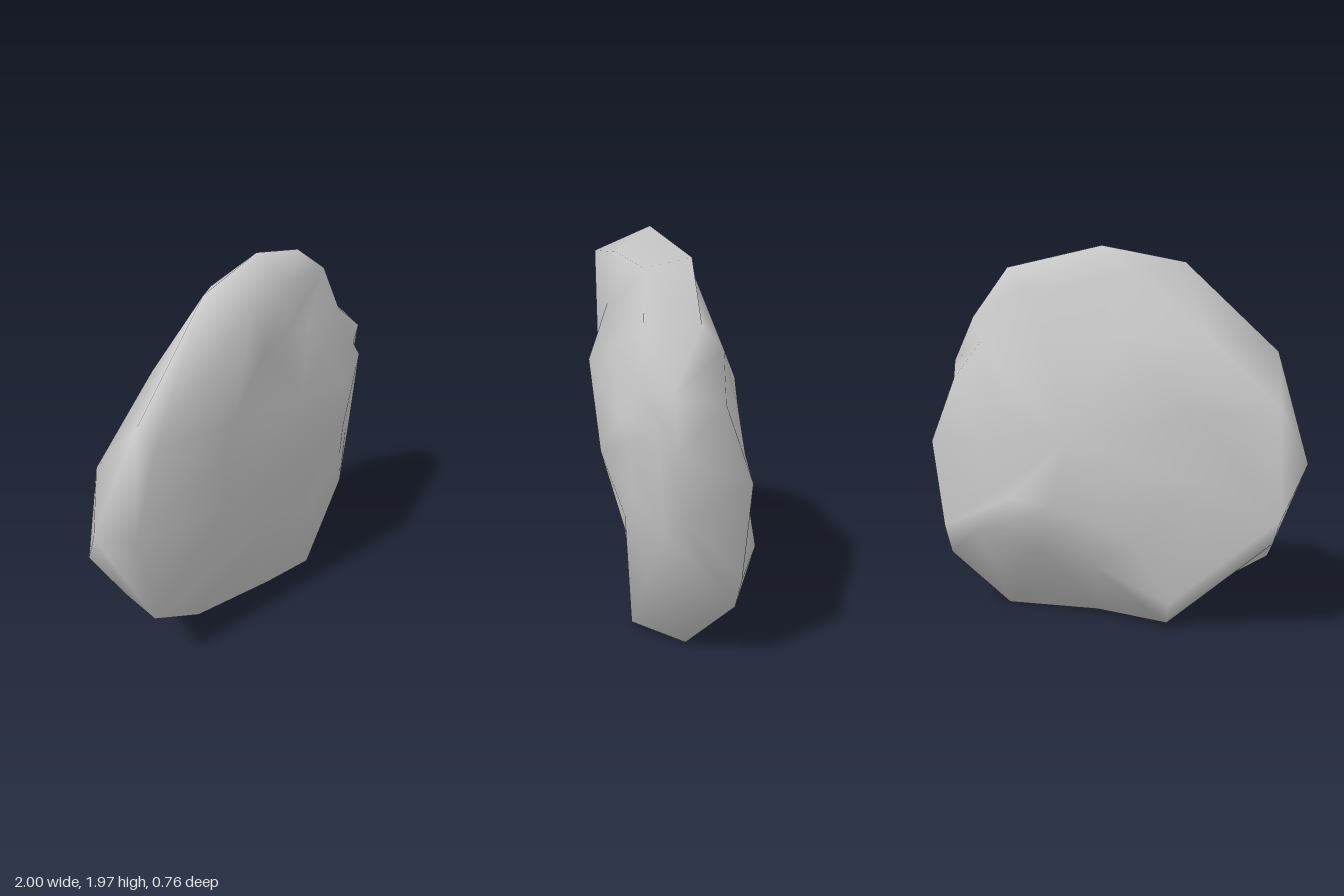
import * as THREE from 'three';

// Stations run clockwise round the stone, seen from the front.
// Each holds three points: front edge, outer rim, back edge.
const STATIONS = [
  [[0.12, 1.85, 0.23], [0.09, 1.97, 0.06], [0.15, 1.78, -0.07]],
  [[0.53, 1.81, 0.18], [0.59, 1.86, -0.02], [0.46, 1.76, -0.07]],
  [[0.66, 1.56, 0.21], [0.80, 1.60, -0.01], [0.70, 1.47, -0.14]],
  [[0.78, 1.33, 0.25], [1.00, 1.35, 0.16], [0.88, 1.27, -0.10]],
  [[0.94, 1.20, 0.21], [1.00, 1.10, 0.13], [0.97, 0.94, -0.20]],
  [[0.93, 0.72, 0.18], [0.99, 0.80, 0.11], [0.92, 0.47, -0.18]],
  [[0.77, 0.43, 0.23], [0.89, 0.32, -0.16], [0.66, 0.50, -0.33]],
  [[0.42, 0.03, 0.23], [0.62, 0.00, 0.00], [0.32, 0.43, -0.31]],
  [[0.10, 0.04, 0.16], [0.10, 0.01, 0.00], [0.04, 0.36, -0.30]],
  [[-0.45, 0.14, 0.09], [-0.31, 0.02, -0.12], [-0.33, 0.14, -0.16]],
  [[-0.80, 0.36, 0.10], [-0.84, 0.47, -0.05], [-0.89, 0.64, -0.23]],
  [[-0.87, 0.86, 0.08], [-1.00, 0.89, -0.06], [-0.87, 1.17, -0.14]],
  [[-0.79, 1.31, 0.15], [-0.83, 1.43, 0.09], [-0.50, 1.52, -0.11]],
  [[-0.26, 1.83, 0.28], [-0.35, 1.88, 0.08], [-0.10, 1.83, -0.07]],
];
// Two peaks on the front face, one on the back
const UPPER_PEAK = [0.07, 1.32, 0.37];
const LOWER_PEAK = [0.48, 0.97, 0.38];
const BACK_PEAK = [0.14, 1.00, -0.38];

// How far each face swells or sinks in z between its peak and each station
const FRONT_DENT = [-0.07, -0.04, 0, 0, 0, 0, -0.01, -0.055, -0.03, 0, 0, 0, 0, -0.08];
const BACK_DENT = [0.075, 0.06, -0.03, -0.04, 0, 0, 0, 0, 0, 0, 0.16, 0.11, 0.02, 0.08];

function between(peak, edge, t, dz) {
  const p = peak.map((v, i) => v + (edge[i] - v) * t);
  p[2] += dz;
  return p;
}

function stoneGeometry() {
  const n = STATIONS.length;
  const positions = [];
  const add = (p) => positions.push(...p) / 3 - 1;

  const upper = add(UPPER_PEAK), lower = add(LOWER_PEAK), back = add(BACK_PEAK);
  const usesLower = (k) => k >= 3 && k <= 9;

  // Rings from the front peaks, over the rim, to the back peak
  const rings = [
    STATIONS.map((_, k) => (usesLower(k) ? lower : upper)),
    STATIONS.map((s, k) =>
      add(between(usesLower(k) ? LOWER_PEAK : UPPER_PEAK, s[0], 0.5, FRONT_DENT[k]))),
    ...[0, 1, 2].map((r) => STATIONS.map((s) => add(s[r]))),
    STATIONS.map((s, k) => add(between(BACK_PEAK, s[2], 0.62, BACK_DENT[k]))),
    STATIONS.map(() => back),
  ];
  const RIM = 3;

  // Join neighbouring rings, leaving out triangles that collapse at a peak
  const index = [];
  const tri = (a, b, c) => {
    if (a !== b && b !== c && c !== a) index.push(a, b, c);
  };
  for (let r = 0; r < rings.length - 1; r++) {
    for (let k = 0; k < n; k++) {
      const j = (k + 1) % n;
      const a = rings[r][k], b = rings[r][j];
      const c = rings[r + 1][j], d = rings[r + 1][k];
      if (r === RIM) { // fold the other way behind the rim
        tri(a, b, d);
        tri(b, c, d);
      } else {
        tri(a, b, c);
        tri(a, c, d);
      }
    }
  }

  const geometry = new THREE.BufferGeometry();
  geometry.setAttribute('position', new THREE.Float32BufferAttribute(positions, 3));
  geometry.setIndex(index);
  geometry.computeVertexNormals(); // shared corners give soft shading
  return geometry;
}

export function createModel() {
  const grey = new THREE.MeshStandardMaterial({ color: 0xc8c8c8 });
  grey.name = 'stoneGrey';

  const stone = new THREE.Mesh(stoneGeometry(), grey);
  stone.name = 'stone';

  const group = new THREE.Group();
  group.name = 'flatStone';
  group.add(stone);
  return group;
}
